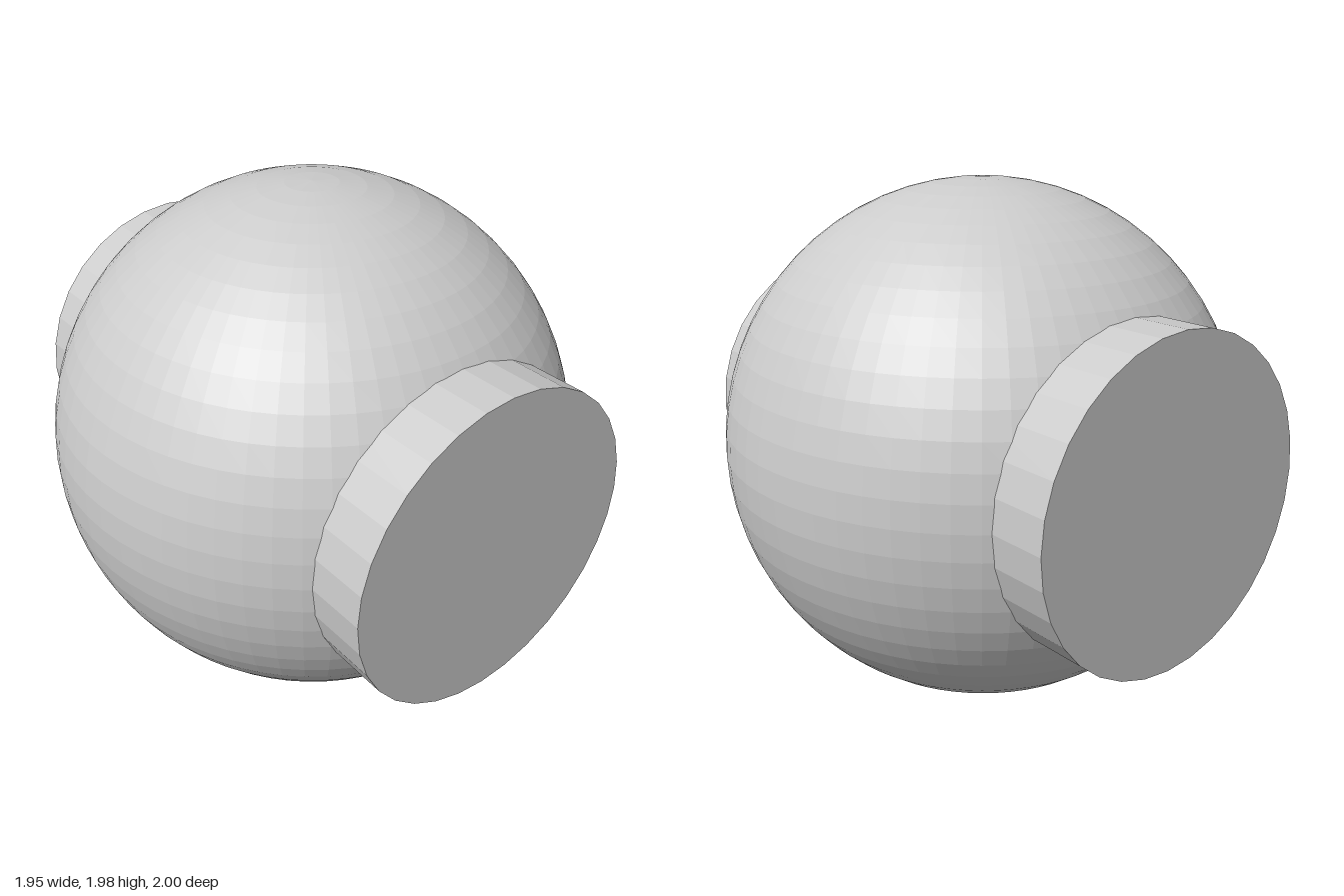
import * as THREE from 'three';

export function createModel() {
  const group = new THREE.Group();
  const material = new THREE.MeshStandardMaterial({ color: 0xcccccc, flatShading: true });
  const centerY = 0.99;

  // Faceted ball body, poles up and down
  const body = new THREE.Mesh(new THREE.SphereGeometry(1, 64, 32), material);
  body.name = 'ballBody';
  body.scale.set(0.977, 0.988, 0.98);
  body.position.y = centerY;
  group.add(body);

  // Round stubs on the front and back, running into the ball
  const length = 0.4;
  for (const [name, side] of [['frontStub', 1], ['backStub', -1]]) {
    const stub = new THREE.Mesh(new THREE.CylinderGeometry(0.595, 0.595, length, 32), material);
    stub.name = name;
    stub.rotation.x = side * Math.PI / 2;
    stub.position.set(0, centerY + 0.003, side * (1 - length / 2));
    group.add(stub);
  }

  return group;
}
